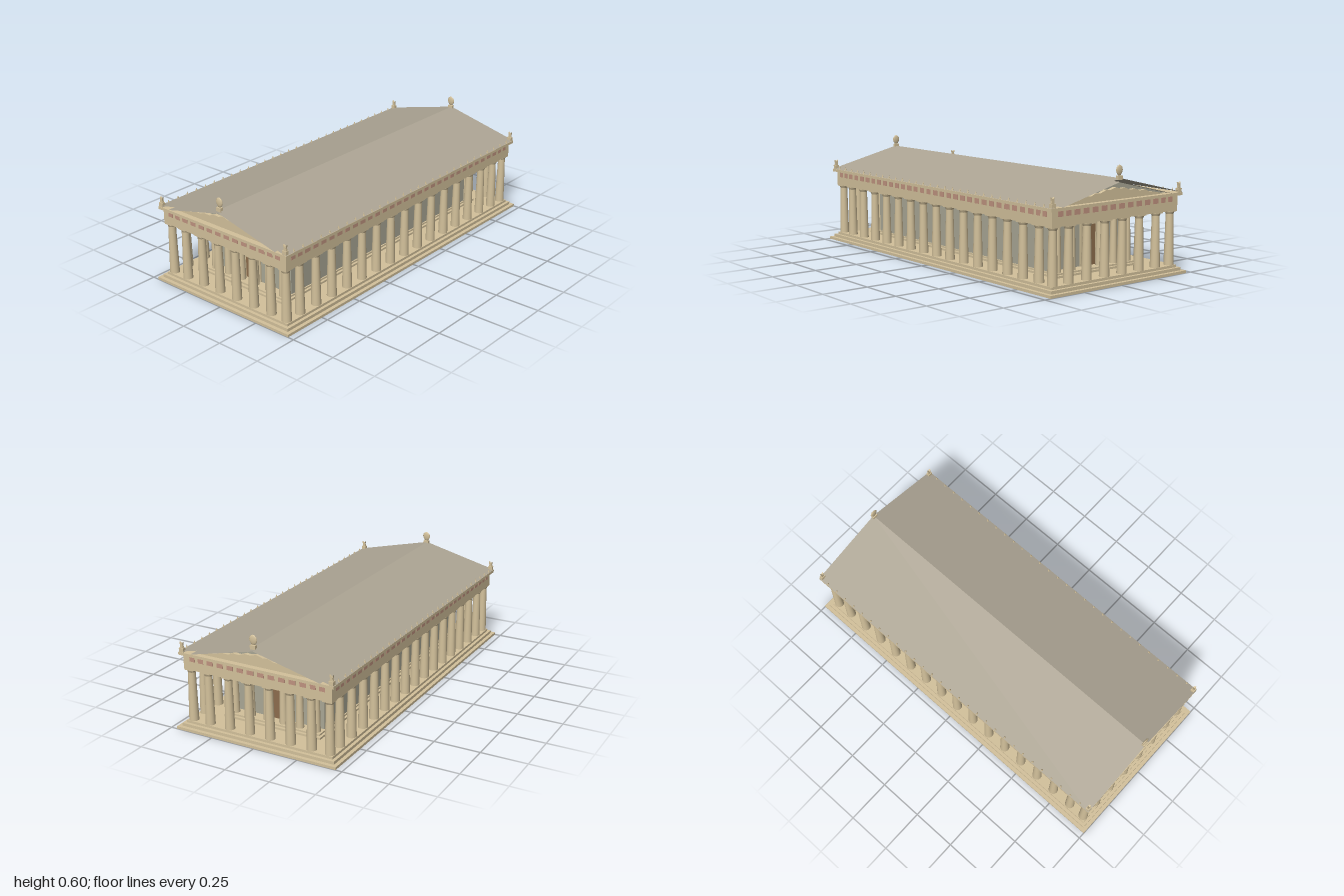
import * as THREE from 'three';

const mat = (name, color, side = THREE.FrontSide) => {
  const m = new THREE.MeshStandardMaterial({ color, side });
  m.name = name;
  return m;
};
const polygon = (points) => new THREE.Shape(points.map(p => new THREE.Vector2(...p)));
const extrude = (shape, depth) => new THREE.ExtrudeGeometry(shape, { depth, bevelEnabled: false });

export function createModel() {
  const stone = mat('warm stone', 0xd3c19b);
  const wall = mat('grey wall', 0xa9a795);
  const roofTile = mat('roof tile', 0xada594, THREE.DoubleSide);
  const red = mat('faded red', 0xbf937f);
  const wood = mat('door wood', 0x8d6d4d);

  const temple = new THREE.Group();
  temple.name = 'temple';

  const add = (name, geo, material, x = 0, y = 0, z = 0, parent = temple) => {
    const mesh = new THREE.Mesh(geo, material);
    mesh.name = name;
    mesh.position.set(x, y, z);
    parent.add(mesh);
    return mesh;
  };
  // box from half widths and a bottom and top height
  const slab = (name, hx, y0, y1, hz, material = stone, x = 0, z = 0, parent = temple) =>
    add(name, new THREE.BoxGeometry(hx * 2, y1 - y0, hz * 2), material, x, (y0 + y1) / 2, z, parent);
  // rectangular ring, open in the middle
  const rect = (hx, hz) => [[-hx, -hz], [hx, -hz], [hx, hz], [-hx, hz]];
  const frame = (name, hx, hz, inX, inZ, y0, y1) => {
    const shape = polygon(rect(hx, hz));
    shape.holes.push(polygon(rect(inX, inZ)));
    add(name, extrude(shape, y1 - y0).rotateX(-Math.PI / 2), stone, 0, y0, 0);
  };
  const group = (name) => {
    const g = new THREE.Group();
    g.name = name;
    temple.add(g);
    return g;
  };

  // stepped base, hollow underneath, and the inner platform
  frame('bottomStep', 0.465, 1, 0.445, 0.98, 0, 0.014);
  frame('middleStep', 0.445, 0.98, 0.428, 0.963, 0.014, 0.03);
  slab('floor', 0.428, 0.03, 0.043, 0.963);
  slab('innerLowerStep', 0.285, 0.043, 0.054, 0.835);
  slab('innerUpperStep', 0.272, 0.054, 0.063, 0.82);

  // columns: tapered shaft, flared cushion, square block
  const columns = group('columns');
  const makeColumn = (name, x, z, y0, r) => {
    const c = new THREE.Group();
    c.name = name;
    c.position.set(x, 0, z);
    columns.add(c);
    const shaft = 0.31 - y0;
    add('shaft', new THREE.CylinderGeometry(r * 0.77, r, shaft, 16), stone, 0, y0 + shaft / 2, 0, c);
    add('cushion', new THREE.CylinderGeometry(r, r * 0.77, 0.013, 16), stone, 0, 0.3165, 0, c);
    slab('block', r, 0.323, 0.333, r, stone, 0, 0, c);
  };
  const frontX = [-0.4, -0.298, -0.179, -0.06, 0.06, 0.179, 0.298, 0.4];
  const sideZ = [-0.937];
  for (let i = -7; i <= 7; i++) sideZ.push(i * 0.12);
  sideZ.push(0.937);
  for (const s of [-1, 1]) {
    for (const x of frontX) makeColumn('endColumn', x, s * 0.937, 0.043, 0.026);
    for (const z of sideZ.slice(1, -1)) makeColumn('sideColumn', s * 0.4, z, 0.043, 0.026);
    for (const x of [-0.24, -0.144, -0.048, 0.048, 0.144, 0.24])
      makeColumn('porchColumn', x, s * 0.79, 0.063, 0.021);
  }

  // inner hall with a door at each end
  slab('hallWalls', 0.265, 0.063, 0.334, 0.755, wall);
  for (const s of [-1, 1]) {
    slab('door', 0.045, 0.063, 0.273, 0.004, wood, 0, s * 0.756);
    slab('doorLintel', 0.058, 0.273, 0.295, 0.006, stone, 0, s * 0.756);
    for (const x of [-1, 1]) slab('doorJamb', 0.0065, 0.063, 0.273, 0.006, stone, x * 0.0515, s * 0.756);
  }
  slab('ceiling', 0.4, 0.333, 0.345, 0.93);

  // beams over the outer columns and the cornice
  frame('outerBeams', 0.428, 0.963, 0.374, 0.911, 0.328, 0.407);
  slab('cornice', 0.446, 0.407, 0.422, 0.98);

  // painted frieze panels, two to each bay
  const frieze = group('friezePanels');
  const eachPanel = (stops, fn) => {
    for (let i = 0; i + 1 < stops.length; i++) {
      const a = stops[i], w = stops[i + 1] - a;
      for (const t of [0.25, 0.75]) fn(a + w * t, w * 0.155);
    }
  };
  for (const s of [-1, 1]) {
    eachPanel(frontX, (x, h) => slab('endPanel', h, 0.376, 0.403, 0.002, red, x, s * 0.963, frieze));
    eachPanel(sideZ, (z, h) => slab('sidePanel', 0.002, 0.376, 0.403, h, red, s * 0.428, z, frieze));
  }

  // gable walls with a wavy band of relief
  const gable = polygon([[-0.37, 0.422], [0.37, 0.422], [0, 0.512]]);
  const wave = [[0.33, 0.424], [0.27, 0.437], [0.235, 0.441], [0.205, 0.454], [0.165, 0.452], [0.135, 0.464],
    [0.1, 0.462], [0.065, 0.475], [0.035, 0.473]];
  const relief = polygon([[-0.33, 0.42], [0.33, 0.42], ...wave, [0, 0.483],
    ...wave.map(([x, y]) => [-x, y]).reverse()]);
  for (const s of [-1, 1]) {
    const end = group('gableEnd');
    end.rotation.y = s > 0 ? 0 : Math.PI;
    add('gableWall', extrude(gable, 0.02), wall, 0, 0, 0.91, end);
    add('gableRelief', extrude(relief, 0.02), stone, 0, 0, 0.93, end);
  }

  // roof: upper sheets and parallel lining, open at the ends
  const slope = (name, x, y0, y1) => {
    const len = Math.hypot(x, y1 - y0);
    for (const s of [-1, 1]) {
      const m = add(name, new THREE.PlaneGeometry(len, 1.96).rotateX(-Math.PI / 2), roofTile,
        s * x / 2, (y0 + y1) / 2, 0);
      m.rotation.z = -s * Math.atan2(y1 - y0, x);
    }
  };
  slope('roofSlope', 0.446, 0.423, 0.531);
  slope('roofLining', 0.372, 0.422, 0.512);

  // small upright tiles along the eaves
  const eaves = group('eaveOrnaments');
  const leaf = new THREE.ConeGeometry(0.008, 0.02, 4);
  for (const s of [-1, 1])
    for (let i = -14; i <= 14; i++) add('eaveOrnament', leaf, stone, s * 0.438, 0.432, i * 0.0655, eaves);

  // corner ornaments with two horns
  const horns = polygon([[-0.009, 0], [0.009, 0], [0.008, 0.014], [0.01, 0.031], [0.001, 0.022],
    [-0.009, 0.031], [-0.007, 0.014]]);
  // ridge ornament: flattened bud on a block
  const bud = new THREE.LatheGeometry([[0, -0.026], [0.01, -0.024], [0.019, -0.012], [0.0235, 0.002],
    [0.019, 0.016], [0.01, 0.024], [0, 0.028]].map(p => new THREE.Vector2(...p)), 12).scale(1, 1, 0.28);
  for (const z of [-1, 1]) {
    for (const x of [-1, 1]) {
      slab('cornerBlock', 0.0125, 0.42, 0.444, 0.01, stone, x * 0.43, z * 0.968);
      add('cornerHorns', extrude(horns, 0.01), stone, x * 0.43, 0.444, z * 0.968 - 0.005);
    }
    slab('ridgeBlock', 0.015, 0.522, 0.543, 0.009, stone, 0, z * 0.972);
    add('ridgeBud', bud, stone, 0, 0.569, z * 0.972);
  }

  return temple;
}
